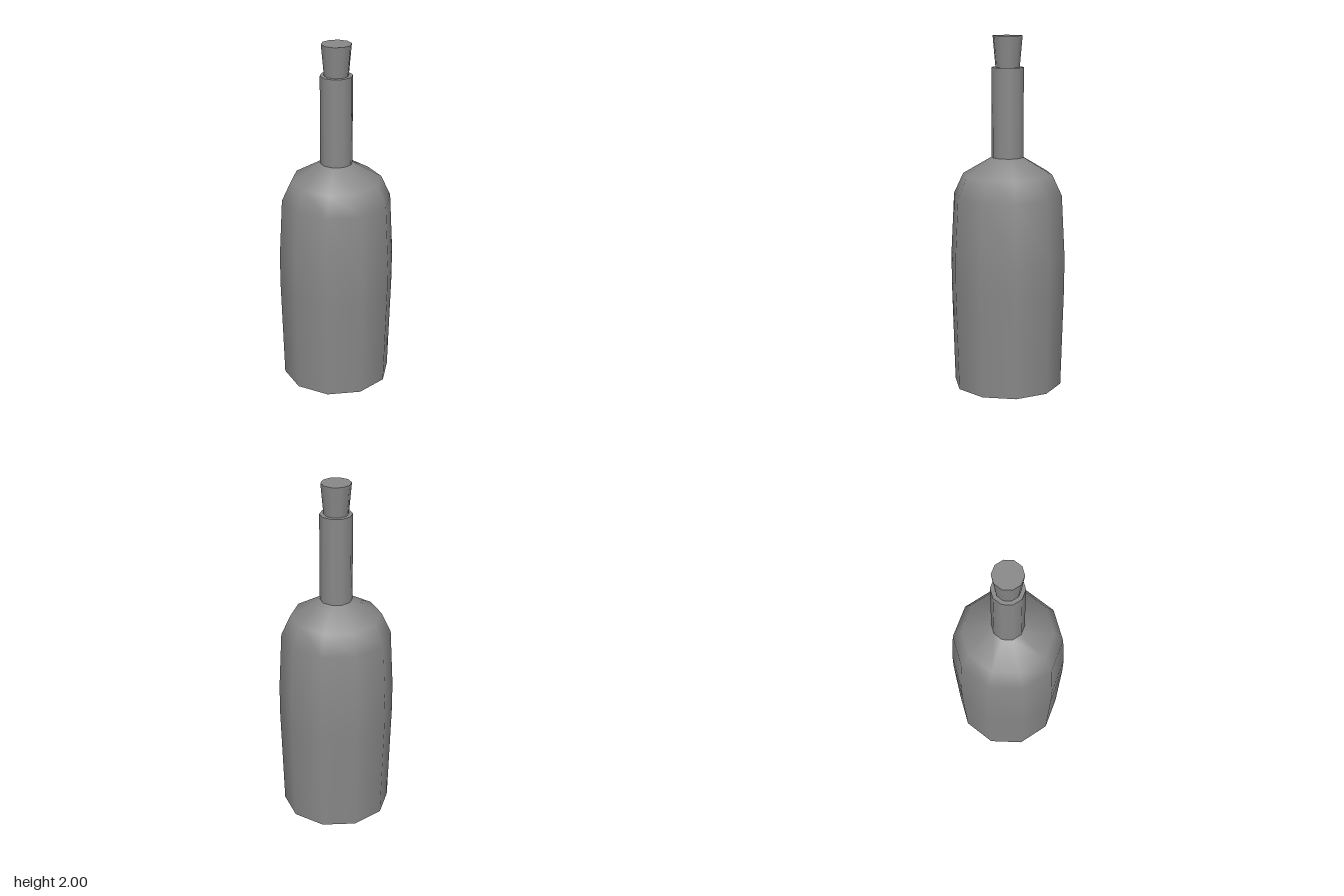
import * as THREE from 'three';

const SIDES = 10;

export function createModel() {
  const group = new THREE.Group();
  group.name = 'bottle';
  const material = new THREE.MeshStandardMaterial({ color: 0x888888 });

  // Turns a [radius, height] profile, listed bottom to top, into a ten-sided part with corners on the x axis
  const turn = (name, profile) => {
    const points = profile.map(([r, y]) => new THREE.Vector2(r, y));
    const mesh = new THREE.Mesh(new THREE.LatheGeometry(points, SIDES, Math.PI / 2), material);
    mesh.name = name;
    group.add(mesh);
  };

  // Flat base, kept apart from the body for a sharp edge
  turn('base', [[0, 0], [0.31, 0]]);

  // Smooth, slightly bulging body with sloping shoulders
  turn('body', [[0.31, 0], [0.327, 0.59], [0.327, 0.77], [0.309, 1.11], [0.255, 1.226], [0.091, 1.323]]);

  // Straight neck and its flat rim
  turn('neck', [[0.091, 1.323], [0.091, 1.826]]);
  turn('rim', [[0.091, 1.826], [0.06, 1.826]]);

  // Tapered cork standing in the neck
  turn('cork', [[0.066, 1.8], [0.084, 2]]);
  turn('corkTop', [[0.084, 2], [0, 2]]);

  return group;
}
